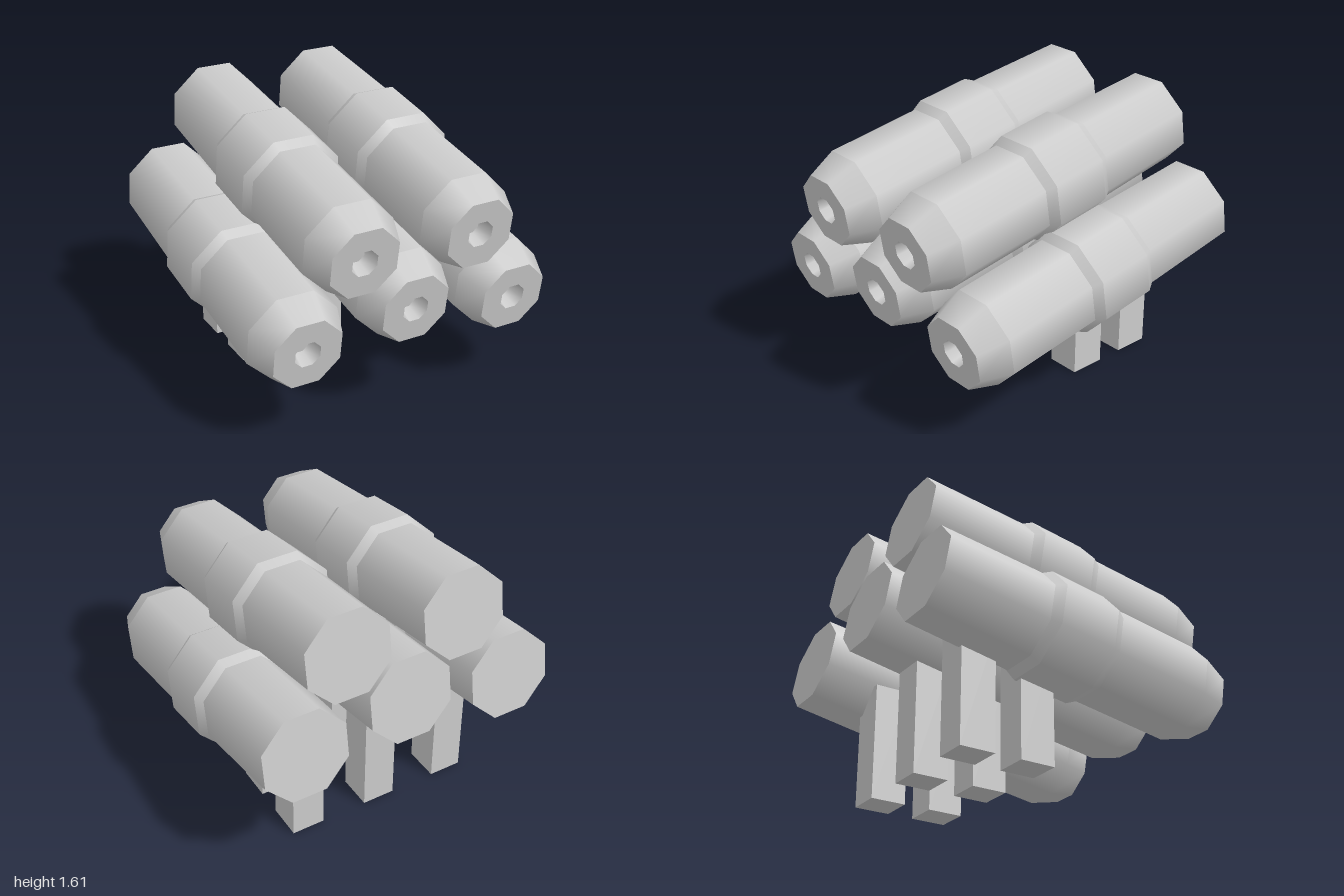
import * as THREE from 'three';
import { mergeGeometries } from 'three/addons/utils/BufferGeometryUtils.js';

const SIDES = 8;
const TILT = 0.16; // nose-down pitch of every tube

// Profile from back to front: [distance from the axis to a flat side, position along the axis]
const PROFILE = [
  [0, -1.88], [0.253, -1.88],                  // back cap
  [0.264, -1.235], [0.295, -1.18],             // collar, rear bevel
  [0.295, -0.835], [0.264, -0.78],             // collar, front bevel
  [0.264, -0.18], [0.2, 0],                    // tapered nose
  [0.075, 0], [0.055, -0.1], [0, -0.1],        // front face and bore
];

// Each band is lathed separately: smooth around the tube, sharp between bands
function tubeGeometry() {
  const points = PROFILE.map(([flat, y]) => new THREE.Vector2(flat / Math.cos(Math.PI / SIDES), y));
  const bands = [];
  for (let i = 0; i < points.length - 1; i++) {
    bands.push(new THREE.LatheGeometry([points[i], points[i + 1]], SIDES, Math.PI / SIDES));
  }
  return mergeGeometries(bands).rotateX(Math.PI / 2 + TILT);
}

export function createModel() {
  const model = new THREE.Group();
  model.name = 'tubeLauncher';
  const material = new THREE.MeshStandardMaterial({ color: 0xcccccc });

  const add = (geometry, name, x, y, z) => {
    const mesh = new THREE.Mesh(geometry, material);
    mesh.name = name;
    mesh.position.set(x, y, z);
    model.add(mesh);
  };

  // Tubes, placed by the centre of their front face
  const tube = tubeGeometry();
  add(tube, 'centreTube', 0, 0.67, 0.905);
  for (const [side, s] of [['left', 1], ['right', -1]]) {
    add(tube, side + 'UpperTube', s * 0.36, 1.06, 0.967);
    add(tube, side + 'LowerTube', s * 0.658, 0.57, 0.895);
  }

  // Two rows of three square legs
  const legHeight = 0.7;
  const leg = new THREE.BoxGeometry(0.2, legHeight, 0.213);
  for (const [row, z] of [['front', -0.195], ['back', -0.568]]) {
    for (const [side, x] of [['Right', -0.48], ['Centre', 0], ['Left', 0.48]]) {
      add(leg, row + side + 'Leg', x, legHeight / 2, z);
    }
  }
  return model;
}
